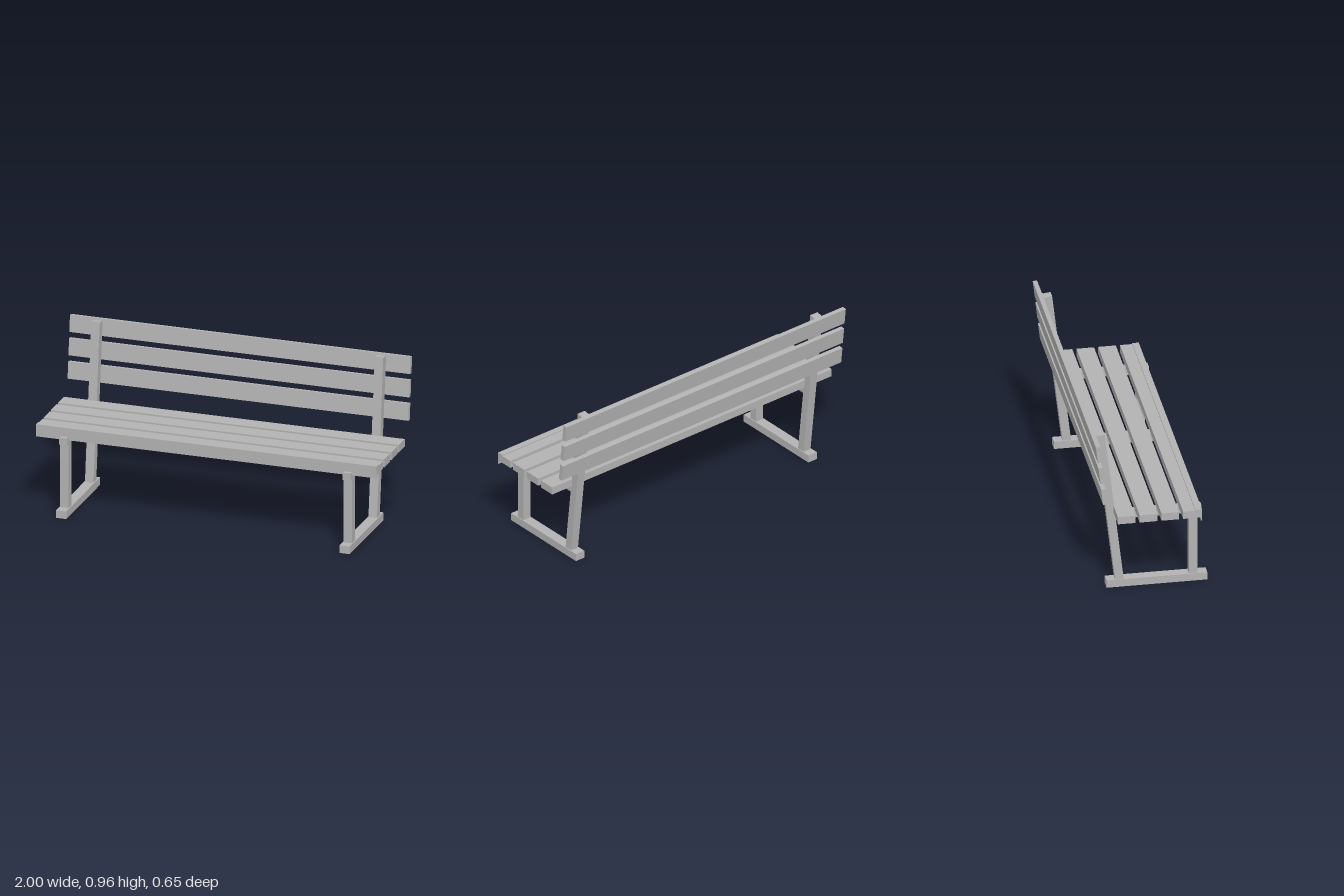
import * as THREE from 'three';

export function createModel() {
  const bench = new THREE.Group();
  bench.name = 'bench';
  const grey = new THREE.MeshStandardMaterial({ color: 0xb2b2b2 });
  grey.name = 'plain grey';

  const tilt = -Math.atan(0.117); // backward lean of the backrest

  // Box centred at (x, y, z), optionally leaning back
  function bar(parent, name, [w, h, d], [x, y, z], lean = 0) {
    const mesh = new THREE.Mesh(new THREE.BoxGeometry(w, h, d), grey);
    mesh.name = name;
    mesh.position.set(x, y, z);
    mesh.rotation.x = lean;
    parent.add(mesh);
  }

  // Two mirrored side frames
  for (const side of [1, -1]) {
    const frame = new THREE.Group();
    frame.name = side > 0 ? 'leftFrame' : 'rightFrame';
    frame.position.x = side * 0.832;
    bar(frame, 'foot', [0.06, 0.045, 0.567], [0, 0.0275, 0.0435]);
    bar(frame, 'frontLeg', [0.05, 0.42, 0.048], [0, 0.26, 0.249]);
    bar(frame, 'seatRail', [0.046, 0.042, 0.505], [0, 0.449, 0.0425]);
    bar(frame, 'backPost', [0.05, 0.961, 0.048], [0, 0.4825, -0.2175], tilt);
    bench.add(frame);
  }

  // Seat slats
  for (let i = 0; i < 4; i++) {
    bar(bench, 'seatSlat', [2, 0.045, 0.099], [0, 0.4935, 0.216 - i * 0.1225]);
  }

  // Angle strip along the front edge of the seat
  bar(bench, 'frontStripFace', [2, 0.071, 0.006], [0, 0.4865, 0.269]);
  bar(bench, 'frontStripTop', [2, 0.006, 0.037], [0, 0.519, 0.2535]);

  // Backrest slats, with thin packers against the posts
  for (let i = 0; i < 3; i++) {
    const y = 0.916 - i * 0.133;
    const z = -0.307 + i * 0.0147;
    bar(bench, 'backSlat', [2, 0.098, 0.025], [0, y, z], tilt);
    for (const side of [1, -1]) {
      bar(bench, 'slatPacker', [0.046, 0.09, 0.008], [side * 0.832, y, z + 0.014], tilt);
    }
  }
  return bench;
}
